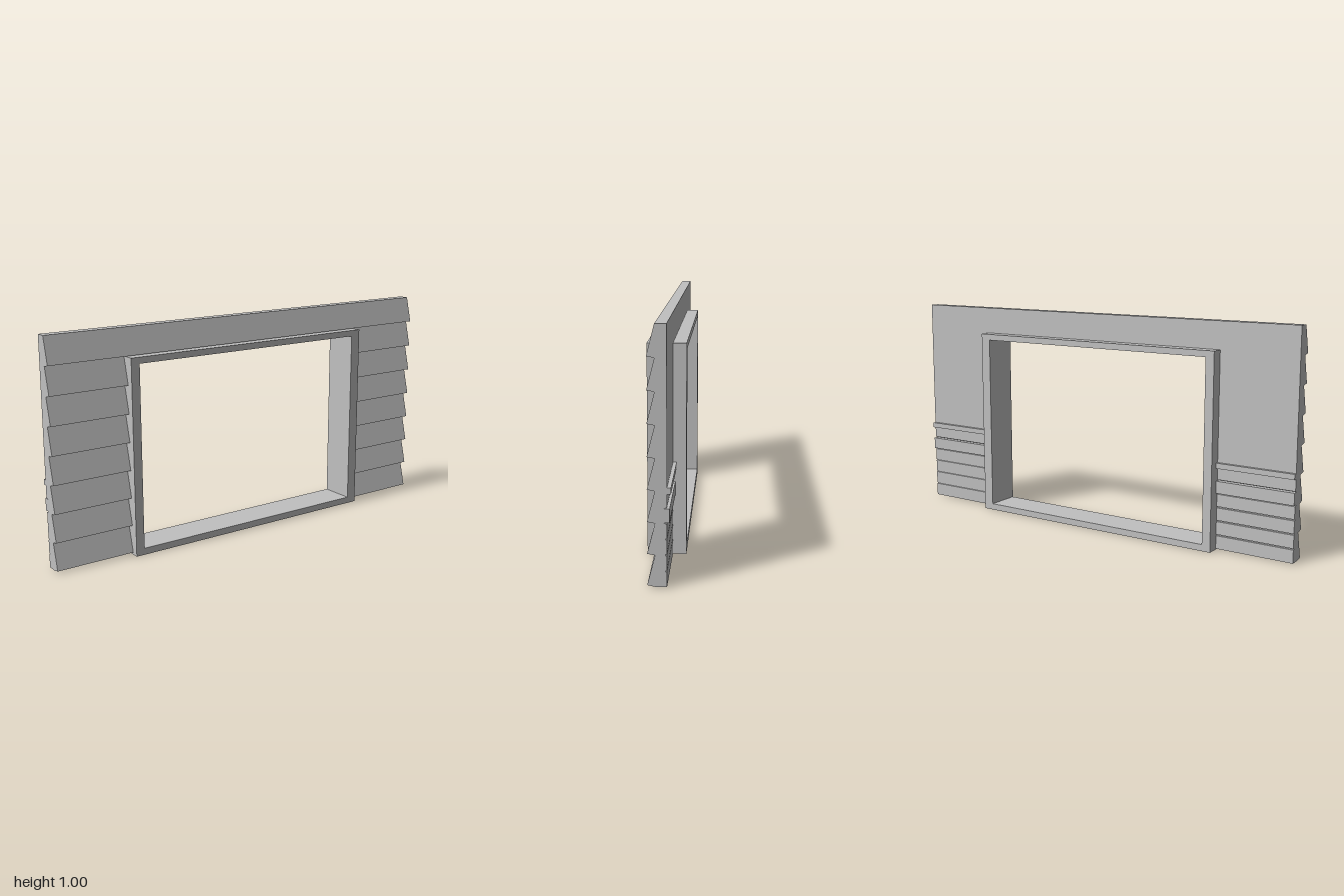
import * as THREE from 'three';

const TOP = 1, STEP = 0.1245, LIP = 0.006;
const FACE = 0.02, BUTT = 0.05, BACK = -0.025;

// Extrude a [z, y] profile along x from x0 to x1
function extrudeAlongX(points, x0, x1) {
  const shape = new THREE.Shape(points.map(([z, y]) => new THREE.Vector2(-z, y)));
  const geometry = new THREE.ExtrudeGeometry(shape, { depth: x1 - x0, bevelEnabled: false });
  return geometry.rotateY(Math.PI / 2).translate(x0, 0, 0);
}

// Overlapping plank faces, from plank number `first` down to `last`
function clapboards(first, last) {
  const points = [];
  for (let k = first; k < last; k++) {
    const bottom = TOP - (k + 1) * STEP;
    points.push([FACE, TOP - k * STEP], [BUTT, bottom + LIP]);
    points.push([FACE, bottom]);
  }
  return points;
}

// Inside face of the lower wall: panel grooves, rails and chair rail, bottom to top
function insideTrim() {
  const points = [[BACK, 0.004]];
  for (const y of [0.066, 0.13, 0.192]) {
    points.push([BACK, y - 0.003], [-0.019, y - 0.002], [-0.019, y + 0.002], [BACK, y + 0.003]);
  }
  points.push(
    [BACK, 0.25], [-0.011, 0.256], [-0.035, 0.256], [-0.035, 0.31], [-0.01, 0.31], [BACK, 0.315],
    [BACK, 0.367], [-0.04, 0.367], [-0.04, 0.391], [BACK, 0.391]
  );
  return points;
}

export function createModel() {
  const model = new THREE.Group();
  model.name = 'windowWall';
  const grey = new THREE.MeshStandardMaterial({ color: 0xc0c0c0 });
  grey.name = 'plain grey';

  const add = (name, geometry) => {
    const mesh = new THREE.Mesh(geometry, grey);
    mesh.name = name;
    model.add(mesh);
  };

  // Top plank across the full width
  const header = [...clapboards(0, 1), [BACK, TOP - STEP], [BACK, TOP]];
  add('headerPlank', extrudeAlongX(header, -1, 1));

  // Wall sections on either side of the opening
  const side = [...clapboards(1, 8), ...insideTrim(), [BACK, TOP - STEP]];
  add('rightWall', extrudeAlongX(side, -1, -0.635));
  add('leftWall', extrudeAlongX(side, 0.62, 1));

  // Window frame with its opening
  const rect = (target, x0, y0, x1, y1) => {
    target.moveTo(x0, y0).lineTo(x1, y0).lineTo(x1, y1).lineTo(x0, y1).closePath();
    return target;
  };
  const frame = rect(new THREE.Shape(), -0.64, 0, 0.625, 0.878);
  frame.holes.push(rect(new THREE.Path(), -0.6, 0.03, 0.577, 0.85));
  const frameGeometry = new THREE.ExtrudeGeometry(frame, { depth: 0.16, bevelEnabled: false });
  add('windowFrame', frameGeometry.translate(0, 0, -0.08));

  return model;
}
